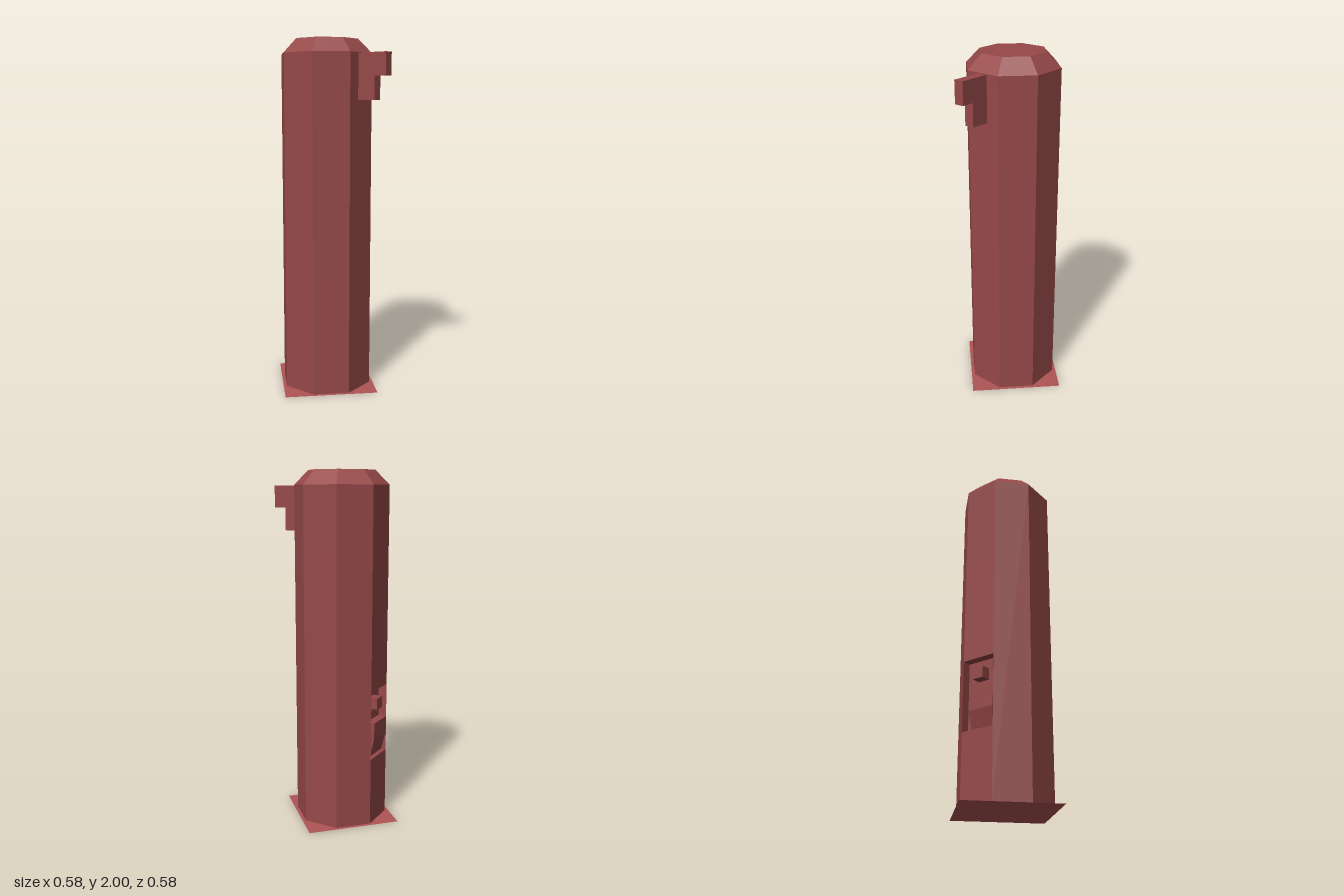
import * as THREE from 'three';

const APOTHEM = 0.245, SHOULDER = 1.92, SIDE = 0.203;
const toRadius = (a) => a / Math.cos(Math.PI / 8);
const rad = THREE.MathUtils.degToRad;

export function createModel() {
  const red = new THREE.MeshStandardMaterial({ color: 0x964848, flatShading: true, side: THREE.DoubleSide });
  const lightRed = new THREE.MeshStandardMaterial({ color: 0xb05555, flatShading: true, side: THREE.DoubleSide });
  const model = new THREE.Group();
  model.name = 'pillar';

  const add = (parent, name, geometry, x = 0, y = 0, z = 0, material = red) => {
    const mesh = new THREE.Mesh(geometry, material);
    mesh.name = name;
    mesh.position.set(x, y, z);
    parent.add(mesh);
    return mesh;
  };

  // Everything stands around the column axis, slightly off centre
  const column = new THREE.Group();
  column.name = 'column';
  column.position.set(-0.029, 0, -0.029);
  model.add(column);

  // Groups turned so that local +z points out of one diagonal face
  const facing = (name, angle) => {
    const group = new THREE.Group();
    group.name = name;
    group.rotation.y = rad(angle);
    column.add(group);
    return group;
  };

  // Square ground plate
  add(column, 'basePlate', new THREE.PlaneGeometry(0.529, 0.529).rotateX(-Math.PI / 2), 0, 0, 0, lightRed);

  // Seven plain sides of the octagonal shaft; the eighth holds the niche
  const r = toRadius(APOTHEM);
  add(column, 'shaft', new THREE.CylinderGeometry(r, r, SHOULDER, 7, 1, true, rad(247.5), rad(315)), 0, SHOULDER / 2, 0);

  // Bevelled cap
  add(column, 'cap', new THREE.CylinderGeometry(toRadius(0.172), r, 2 - SHOULDER, 8, 1, true, rad(22.5)), 0, (2 + SHOULDER) / 2, 0);
  add(column, 'capTop', new THREE.CircleGeometry(toRadius(0.172), 8, rad(22.5)).rotateX(-Math.PI / 2), 0, 2, 0);

  // Niche side
  const niche = facing('nicheSide', 225);
  const low = 0.39, high = 0.79, depth = 0.05;
  const back = APOTHEM - depth, middle = APOTHEM - depth / 2;
  const wall = (name, y0, y1, z) =>
    add(niche, name, new THREE.PlaneGeometry(SIDE, y1 - y0), 0, (y0 + y1) / 2, z);
  wall('lowerWall', 0, low, APOTHEM);
  wall('upperWall', high, SHOULDER, APOTHEM);
  wall('nicheBack', low, high, back);
  add(niche, 'nicheFloor', new THREE.PlaneGeometry(SIDE, depth).rotateX(-Math.PI / 2), 0, low, middle);
  add(niche, 'nicheCeiling', new THREE.PlaneGeometry(SIDE, depth).rotateX(Math.PI / 2), 0, high, middle);
  for (const s of [-1, 1]) {
    add(niche, 'nicheCheek', new THREE.PlaneGeometry(depth, high - low).rotateY(-s * Math.PI / 2),
      s * (SIDE / 2 - 0.001), (low + high) / 2, middle);
  }

  // Shape of (depth, height) points extruded sideways, centred on local x
  const sideExtrude = (points, width) => {
    const shape = new THREE.Shape(points.map(([z, y]) => new THREE.Vector2(z, y)));
    return new THREE.ExtrudeGeometry(shape, { depth: width, bevelEnabled: false })
      .rotateY(-Math.PI / 2).translate(width / 2, 0, 0);
  };

  // Button and sloped tray inside the niche
  add(niche, 'button', new THREE.BoxGeometry(0.068, 0.065, 0.054), 0, 0.703, back + 0.027);
  add(niche, 'tray', sideExtrude([
    [back, low], [back + 0.022, low], [APOTHEM, 0.5], [APOTHEM, 0.595], [back, 0.595],
  ], 0.158), 0.021, 0, 0);

  // Stepped bracket on the opposite diagonal face
  const bracketSide = facing('bracketSide', 45);
  add(bracketSide, 'bracket', sideExtrude([
    [0.23, 1.665], [0.352, 1.665], [0.352, 1.793], [0.423, 1.793], [0.423, 1.917], [0.23, 1.917],
  ], 0.055));

  return model;
}
